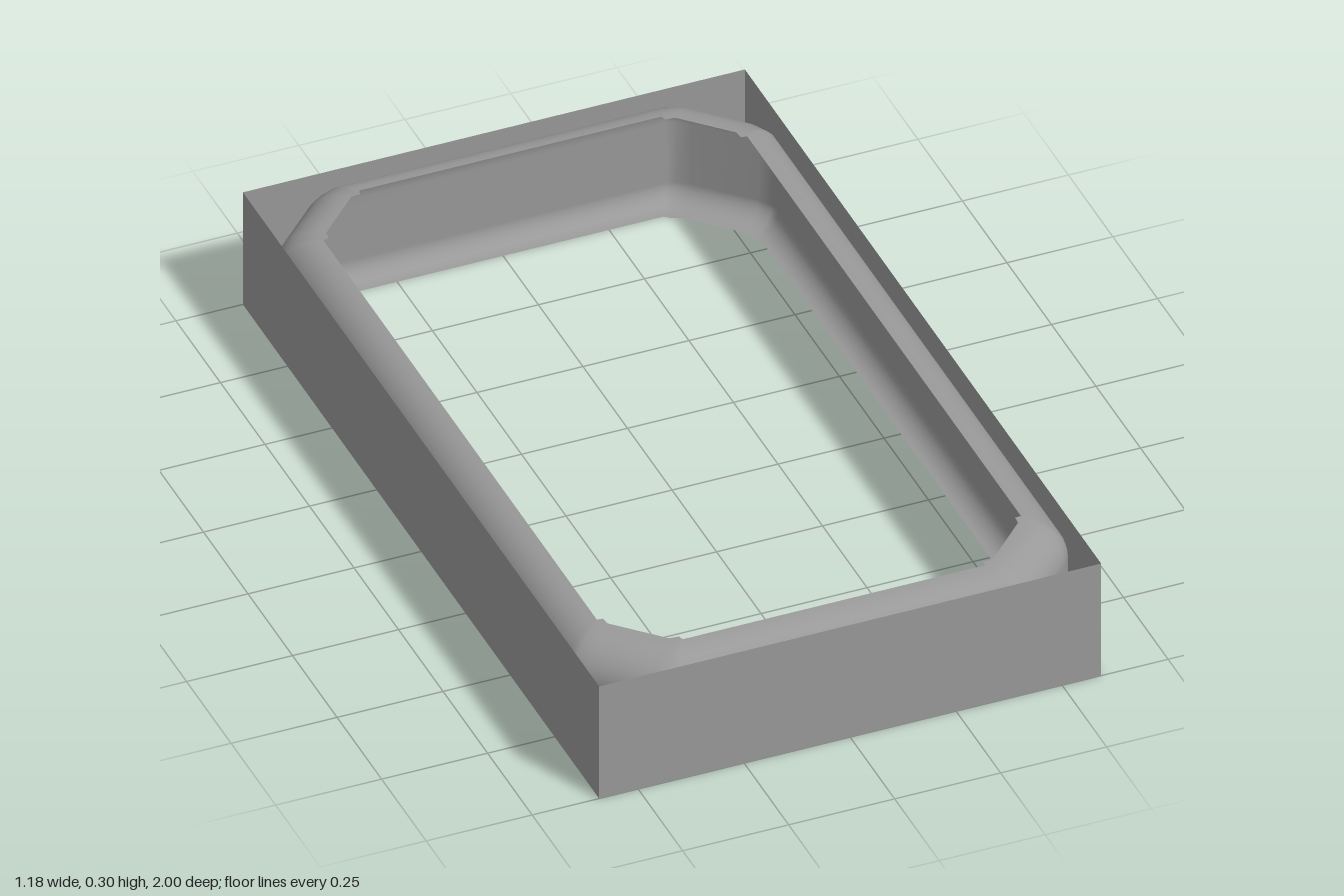
import * as THREE from 'three';

const W = 0.592, L = 1, H = 0.3;
const material = new THREE.MeshStandardMaterial({ color: 0x999999, side: THREE.DoubleSide });

// One corner of the band, [x, z]: at the wall, and at the inner edge of the top lip
const OUTER = [[0.59, 0.81], [0.585, 0.832], [0.565, 0.862], [0.455, 0.972], [0.427, 0.992], [0.405, 0.998]];
const INNER = [[0.5, 0.768], [0.486, 0.77], [0.484, 0.79], [0.382, 0.893], [0.36, 0.895], [0.356, 0.908]];
const LIP = 0.09;

// Mirror a corner into a full closed loop
function fullLoop(corner) {
  const back = [...corner].reverse();
  return [
    ...corner,
    ...back.map(([x, z]) => [-x, z]),
    ...corner.map(([x, z]) => [-x, -z]),
    ...back.map(([x, z]) => [x, -z]),
  ];
}

// C-shaped section, [inset, y]: wide rounded lip on top, narrow one below
function bandSection() {
  const section = [], top = LIP, bottom = 0.05, steps = 8;
  for (let i = 0; i <= steps; i++) {
    const a = (i / steps) * Math.PI / 2;
    section.push([top * (1 - Math.sin(a)), H - top + top * Math.cos(a)]);
  }
  for (let i = 0; i <= steps; i++) {
    const a = (i / steps) * Math.PI / 2;
    section.push([bottom * (1 - Math.cos(a)), bottom * (1 - Math.sin(a))]);
  }
  return section;
}

// Sweep the section round the chamfered loop
function bandGeometry() {
  const outer = fullLoop(OUTER), inner = fullLoop(INNER);
  const section = bandSection(), n = outer.length;
  const positions = [], index = [];
  section.forEach(([inset, y], r) => {
    const t = inset / LIP;
    for (let i = 0; i < n; i++) {
      positions.push(
        THREE.MathUtils.lerp(outer[i][0], inner[i][0], t), y,
        THREE.MathUtils.lerp(outer[i][1], inner[i][1], t));
      if (r === section.length - 1) continue;
      const a = r * n + i, b = r * n + (i + 1) % n;
      index.push(a, b, a + n, b, b + n, a + n);
    }
  });
  const geometry = new THREE.BufferGeometry();
  geometry.setAttribute('position', new THREE.Float32BufferAttribute(positions, 3));
  geometry.setIndex(index);
  geometry.computeVertexNormals();
  return geometry;
}

export function createModel() {
  const model = new THREE.Group();
  model.name = 'rectangularFrame';

  // Four thin outer walls, open above and below
  const walls = new THREE.Group();
  walls.name = 'outerWalls';
  ['frontWall', 'leftWall', 'backWall', 'rightWall'].forEach((name, i) => {
    const side = i % 2 === 1;
    const wall = new THREE.Mesh(new THREE.PlaneGeometry(side ? 2 * L : 2 * W, H), material);
    wall.name = name;
    const angle = i * Math.PI / 2, distance = side ? W : L;
    wall.rotation.y = angle;
    wall.position.set(Math.sin(angle) * distance, H / 2, Math.cos(angle) * distance);
    walls.add(wall);
  });
  model.add(walls);

  // Smooth inner band with chamfered corners
  const band = new THREE.Mesh(bandGeometry(), material);
  band.name = 'innerBand';
  model.add(band);

  return model;
}
